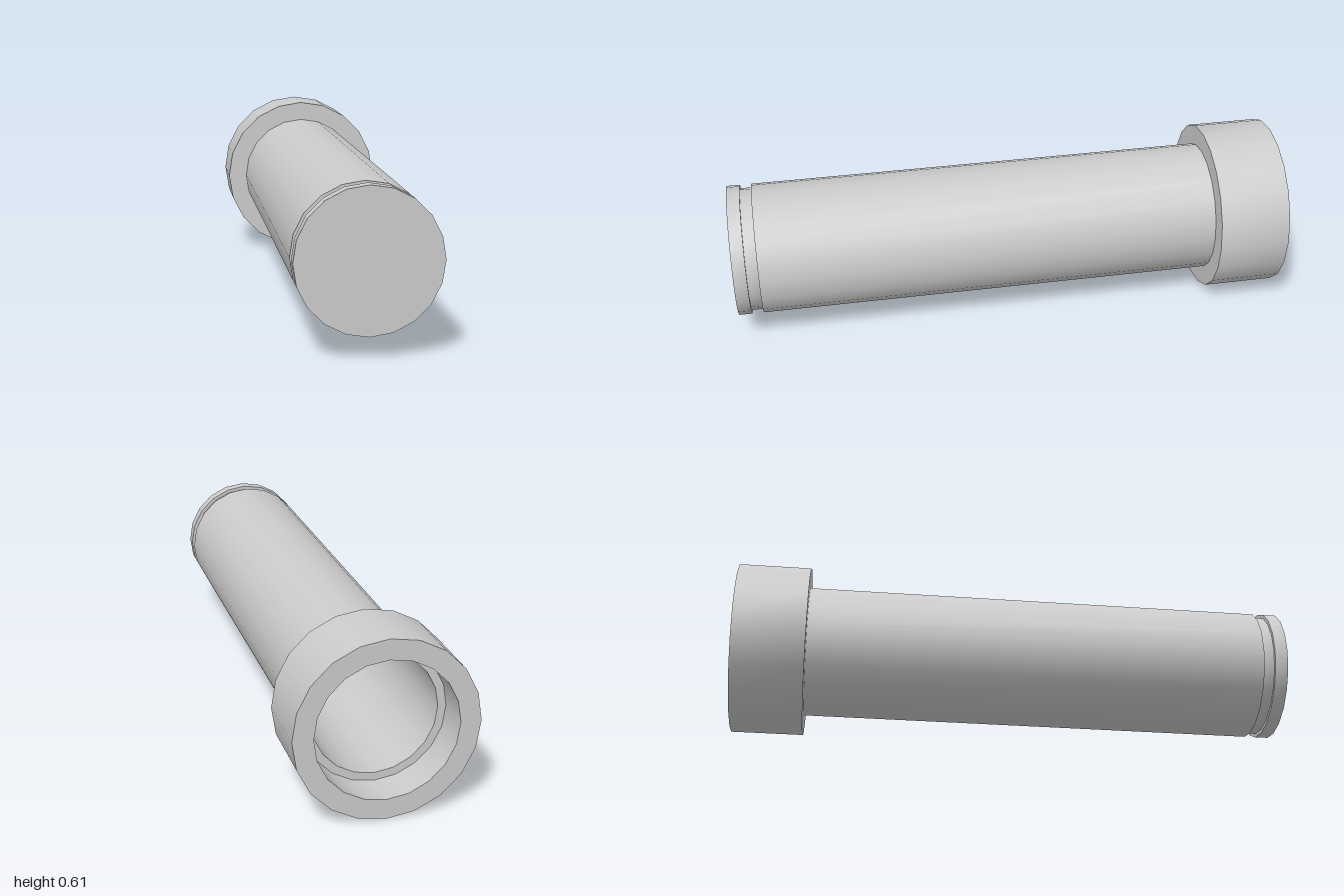
import * as THREE from 'three';
import { toCreasedNormals } from 'three/addons/utils/BufferGeometryUtils.js';

const SIDES = 20;
const RADIUS = 0.307; // collar radius, also the height of the axis

export function createModel() {
  const group = new THREE.Group();
  const material = new THREE.MeshStandardMaterial({ color: 0xcccccc });

  // Turns a [radius, z] profile around the z axis; outer walls run from back to front
  const turned = (name, profile) => {
    const points = profile.map(([r, z]) => new THREE.Vector2(r, z));
    const geometry = new THREE.LatheGeometry(points, SIDES);
    geometry.rotateX(Math.PI / 2);
    const mesh = new THREE.Mesh(toCreasedNormals(geometry, Math.PI / 6), material);
    mesh.name = name;
    mesh.position.y = RADIUS;
    group.add(mesh);
  };

  // Wide collar at the back, with a counterbored socket
  turned('collar', [
    [0.21, -0.87], [0.238, -0.87], [0.238, -1],
    [RADIUS, -1], [RADIUS, -0.744], [0.235, -0.744],
  ]);

  // Long barrel with a ring groove near its closed front end
  turned('barrel', [
    [0.235, -0.744], [0.235, 0.912], [0.222, 0.912],
    [0.222, 0.953], [0.235, 0.953], [0.235, 1], [0, 1],
  ]);

  // Hollow inside of the barrel
  turned('bore', [[0, 0.97], [0.21, 0.97], [0.21, -0.87]]);

  return group;
}
